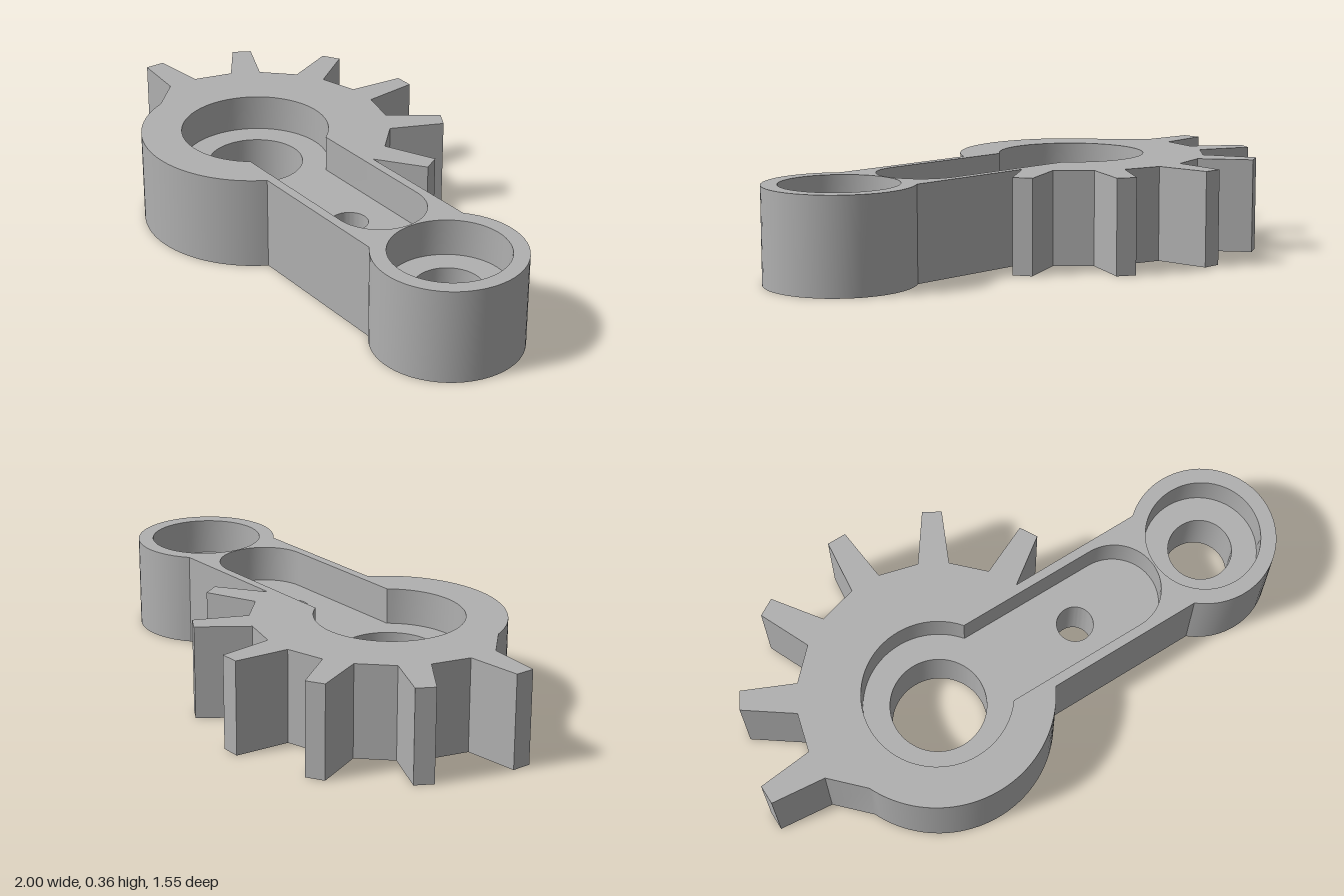
import * as THREE from 'three';
import { mergeGeometries, toCreasedNormals } from 'three/addons/utils/BufferGeometryUtils.js';

const HEIGHT = 0.36, FLOOR = 0.22; // overall height, level of the recessed floors
const HUB = [-0.334, 0.045], BOSS = [0.721, -0.493], PIN = [0.209, -0.233]; // plan positions (x, -z)
const ARM = Math.atan2(BOSS[1] - HUB[1], BOSS[0] - HUB[0]);
const rad = THREE.MathUtils.degToRad;

const polar = ([x, y], r, a) => new THREE.Vector2(x + r * Math.cos(a), y + r * Math.sin(a));

// Points along an arc, counter-clockwise from a0 to a1
function arc(centre, r, a0, a1, n = 40) {
  return Array.from({ length: n + 1 }, (_, i) => polar(centre, r, a0 + ((a1 - a0) * i) / n));
}
const circle = (centre, r) => arc(centre, r, 0, Math.PI * 2, 64).slice(0, -1);

// Flat face with holes at height y, facing up or down
function cap(outline, holes, y, up = true) {
  const shape = new THREE.Shape(outline);
  shape.holes = holes.map((h) => new THREE.Path(h));
  const g = new THREE.ShapeGeometry(shape).toNonIndexed();
  g.deleteAttribute('uv');
  g.rotateX(-Math.PI / 2);
  if (!up) {
    const p = g.attributes.position.array;
    for (let i = 0; i < p.length; i += 9) {
      for (let k = 0; k < 3; k++) [p[i + 3 + k], p[i + 6 + k]] = [p[i + 6 + k], p[i + 3 + k]];
    }
    g.computeVertexNormals();
  }
  return g.translate(0, y, 0);
}

// Upright wall round a closed outline, facing outward or into the opening
function wall(points, y0, y1, inward = false) {
  const pts = inward ? [...points].reverse() : points;
  const pos = [];
  pts.forEach((p, i) => {
    const q = pts[(i + 1) % pts.length];
    const corners = [[p, y0], [q, y0], [q, y1], [p, y0], [q, y1], [p, y1]];
    corners.forEach(([c, y]) => pos.push(c.x, y, -c.y));
  });
  const g = new THREE.BufferGeometry();
  g.setAttribute('position', new THREE.Float32BufferAttribute(pos, 3));
  g.computeVertexNormals();
  return toCreasedNormals(g, 0.4);
}

// Outline: end boss, six gear teeth, round back of the hub
function bodyOutline() {
  const halfArm = 0.21, bossR = 0.278, hubR = 0.438, rootR = 0.52, tipR = 0.73;
  const b = Math.PI - Math.asin(halfArm / bossR);
  const pts = arc(BOSS, bossR, ARM - b, ARM + b);
  for (let i = 0; i < 6; i++) {
    const a = rad(3 + 30 * i);
    const tip = 0.0375 / tipR, root = rad(6.5);
    pts.push(polar(HUB, rootR, a - root), polar(HUB, tipR, a - tip));
    pts.push(polar(HUB, tipR, a + tip), polar(HUB, rootR, a + root));
  }
  pts.push(...arc(HUB, hubR, rad(177), ARM + 2 * Math.PI - Math.asin(halfArm / hubR)));
  return pts;
}

// Keyhole recess: hub circle joined to a round-ended slot along the arm
function recessOutline() {
  const r = 0.283, half = 0.174;
  const open = Math.asin(half / r);
  const end = polar(HUB, 0.784, ARM);
  return [
    ...arc(HUB, r, ARM + open, ARM + 2 * Math.PI - open, 56),
    ...arc([end.x, end.y], half, ARM - Math.PI / 2, ARM + Math.PI / 2, 32),
  ];
}

export function createModel() {
  const group = new THREE.Group();
  const grey = new THREE.MeshStandardMaterial({ color: 0xb0b0b0 });
  grey.name = 'plain grey';
  const add = (name, ...parts) => {
    const mesh = new THREE.Mesh(mergeGeometries(parts), grey);
    mesh.name = name;
    group.add(mesh);
  };

  const body = bodyOutline();
  const recess = recessOutline();
  const bossRecess = circle(BOSS, 0.219);
  const hubBore = circle(HUB, 0.182);
  const pinHole = circle(PIN, 0.07);
  const bossBore = circle(BOSS, 0.123);

  add('outerWall', wall(body, 0, HEIGHT));
  add('topFace', cap(body, [recess, bossRecess], HEIGHT));
  add('bottomFace', cap(body, [hubBore, pinHole, bossBore], 0, false));
  add('armRecess', wall(recess, FLOOR, HEIGHT, true), cap(recess, [hubBore, pinHole], FLOOR));
  add('bossRecess', wall(bossRecess, FLOOR, HEIGHT, true), cap(bossRecess, [bossBore], FLOOR));
  add('hubBore', wall(hubBore, 0, FLOOR, true));
  add('pinHole', wall(pinHole, 0, FLOOR, true));
  add('bossBore', wall(bossBore, 0, FLOOR, true));
  return group;
}
